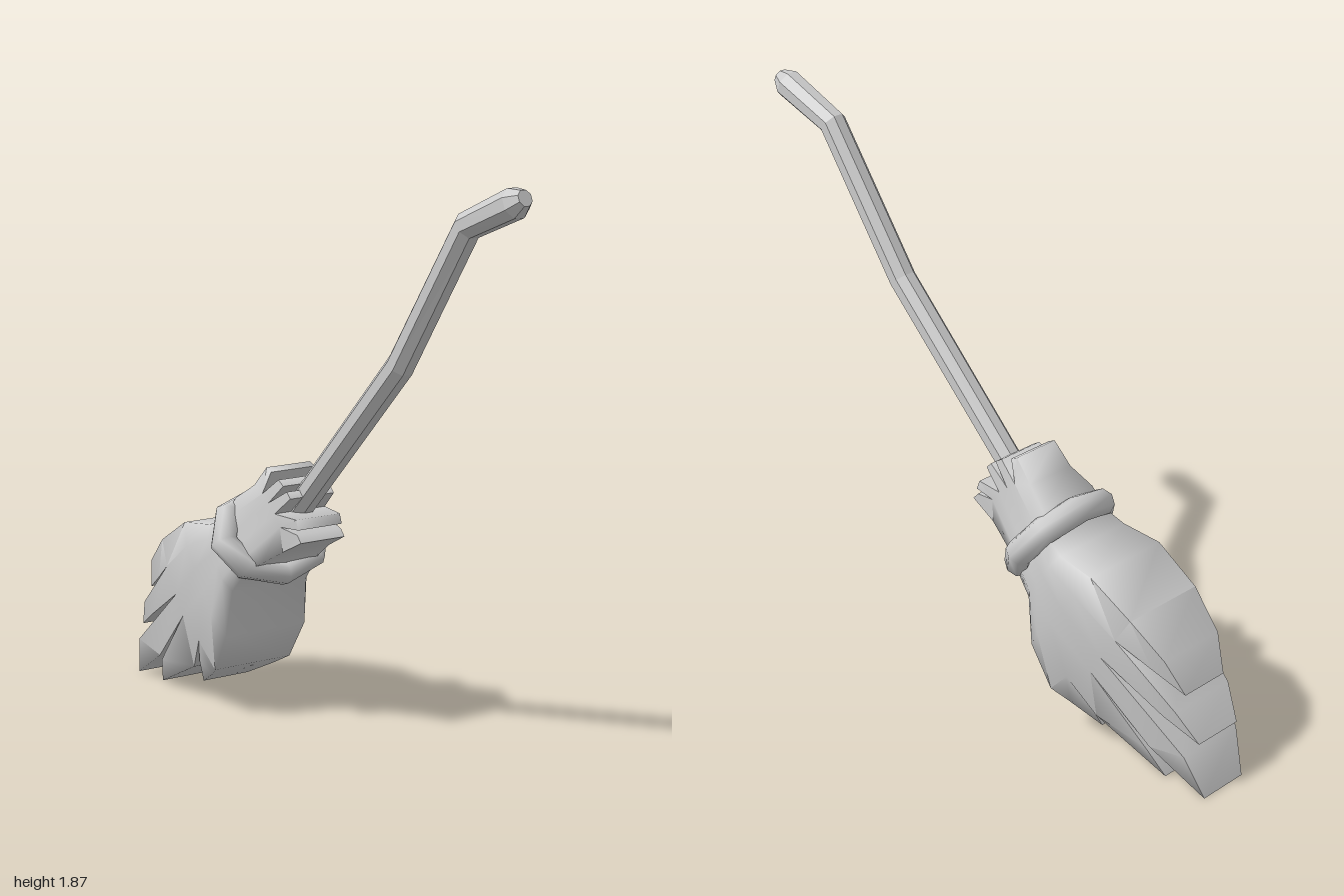
import * as THREE from 'three';
import { toCreasedNormals } from 'three/addons/utils/BufferGeometryUtils.js';

const material = (extra = {}) => new THREE.MeshStandardMaterial({ color: 0xcccccc, ...extra });

function addMesh(group, name, geometry, mat) {
  const mesh = new THREE.Mesh(geometry, mat);
  mesh.name = name;
  group.add(mesh);
}

// Octagonal stick: rings of a cylinder are moved onto a bent path of [x, y, radius]
function handleGeometry() {
  const path = [[-0.2, 0.68, 0.044], [0.42, 1.3, 0.046], [0.74, 1.752, 0.046], [0.953, 1.835, 0.049], [0.994, 1.852, 0.026]];
  const n = path.length - 1;
  const geo = new THREE.CylinderGeometry(1, 1, 1, 8, n);
  const pos = geo.attributes.position;
  const dir = (a, b) => new THREE.Vector2(b[0] - a[0], b[1] - a[1]).normalize();
  const turn = Math.PI / 8;
  for (let i = 0; i < pos.count; i++) {
    const k = Math.round((pos.getY(i) + 0.5) * n);
    const [x, y, r] = path[k];
    const before = dir(path[Math.max(k - 1, 0)], path[Math.max(k, 1)]);
    const after = dir(path[Math.min(k, n - 1)], path[Math.min(k + 1, n)]);
    const t = before.add(after).normalize();
    const px = pos.getX(i), pz = pos.getZ(i);
    const a = (px * Math.cos(turn) - pz * Math.sin(turn)) * r;
    const b = (px * Math.sin(turn) + pz * Math.cos(turn)) * r;
    pos.setXYZ(i, x + t.y * a, y - t.x * a, b - 0.005);
  }
  geo.computeVertexNormals();
  return geo;
}

// Bristle bundle: a grid of five strands, mirrored front to back, ending in spikes both ways.
// Every point is [x, y, half depth].
function bristleGeometry() {
  const out = [];
  const F = ([x, y, h]) => new THREE.Vector3(x, y, h);
  const B = ([x, y, h]) => new THREE.Vector3(x, y, -h);
  const tri = (a, b, c) => {
    const area = b.clone().sub(a).cross(c.clone().sub(a)).length();
    if (area > 1e-7) for (const p of [a, b, c]) out.push(p.x, p.y, p.z);
  };
  const quad = (a, b, c, d) => { tri(a, b, c); tri(a, c, d); };

  // One piece of strand between two levels, each a pair [upper, lower]
  const cell = ([u0, l0], [u1, l1], upperWall, lowerWall) => {
    quad(F(u0), F(u1), F(l1), F(l0));
    quad(B(u0), B(l0), B(l1), B(u1));
    if (upperWall) quad(F(u0), B(u0), B(u1), F(u1));
    if (lowerWall) quad(F(l0), F(l1), B(l1), B(l0));
  };
  const depth = (points, h, edge = 1) =>
    points.map(([x, y], j) => [x, y, h * (j % 5 === 0 ? edge : 1)]);
  const line = (a, b, h, edge) => depth(
    [0, 1, 2, 3, 4, 5].map(j => [a[0] + (b[0] - a[0]) * j / 5, a[1] + (b[1] - a[1]) * j / 5]), h, edge);

  // Rows from the collar notches down to the broom notches
  const rows = [
    depth([[-0.245, 0.822], [-0.185, 0.805], [-0.15, 0.78], [-0.115, 0.75], [-0.085, 0.712], [-0.08, 0.628]], 0.1, 0.92),
    line([-0.32, 0.77], [-0.17, 0.575], 0.13, 0.88),
    line([-0.37, 0.69], [-0.22, 0.545], 0.155, 0.88),
    line([-0.43, 0.662], [-0.295, 0.46], 0.172, 0.86),
    line([-0.57, 0.645], [-0.32, 0.3], 0.185, 0.86),
    depth([[-0.73, 0.553], [-0.68, 0.47], [-0.62, 0.385], [-0.58, 0.315], [-0.48, 0.25], [-0.4, 0.165]], 0.165, 0.92),
  ];
  for (let i = 0; i < rows.length - 1; i++)
    for (let j = 0; j < 5; j++)
      cell([rows[i][j], rows[i][j + 1]], [rows[i + 1][j], rows[i + 1][j + 1]], j === 0, j === 4);

  // Long spikes at the sweeping end: upper shoulder, lower shoulder, tip
  const spikes = [
    [[-0.85, 0.45], [-0.8, 0.4], [-0.908, 0.34]],
    [[-0.9, 0.29], [-0.85, 0.255], [-0.97, 0.19]],
    [[-0.94, 0.145], [-0.8, 0.118], [-1, 0.005]],
    [[-0.787, 0.105], [-0.575, 0.13], [-0.84, 0.01]],
    [[-0.54, 0.16], [-0.46, 0.13], [-0.57, 0.075]],
  ];
  const last = rows[rows.length - 1];
  spikes.forEach(([u, l, t], j) => {
    const mid = [[...u, 0.125], [...l, 0.125]], tip = [...t, 0.09];
    cell([last[j], last[j + 1]], mid, true, true);
    cell(mid, [tip, tip], true, true);
  });

  // Short blunt spikes of the collar
  const stubs = [
    [[-0.18, 0.892], [-0.155, 0.88]],
    [[-0.112, 0.862], [-0.085, 0.845]],
    [[-0.065, 0.83], [-0.045, 0.81]],
    [[-0.012, 0.747], [0, 0.715]],
    [[-0.005, 0.698], [0.015, 0.675]],
  ];
  stubs.forEach(([a, b], j) => {
    const u = [...a, 0.086], l = [...b, 0.086];
    cell([u, l], [rows[0][j], rows[0][j + 1]], true, true);
    quad(F(u), F(l), B(l), B(u));
  });

  const geo = new THREE.BufferGeometry();
  geo.setAttribute('position', new THREE.Float32BufferAttribute(out, 3));
  return toCreasedNormals(geo, 1.4);
}

// Eight-sided oval binding, tilted square to the bundle
function bindingGeometry() {
  const geo = new THREE.TorusGeometry(0.165, 0.042, 8, 8);
  geo.scale(0.86, 1.12, 1.1);
  const across = new THREE.Vector3(0.577, -0.817, 0).normalize();
  const depth = new THREE.Vector3(0, 0, 1);
  const axis = across.clone().cross(depth);
  geo.applyMatrix4(new THREE.Matrix4().makeBasis(across, depth, axis));
  geo.translate(-0.288, 0.633, 0);
  return geo;
}

export function createModel() {
  const broom = new THREE.Group();
  broom.name = 'broom';
  addMesh(broom, 'handle', handleGeometry(), material({ flatShading: true }));
  addMesh(broom, 'bristles', bristleGeometry(), material({ side: THREE.DoubleSide }));
  addMesh(broom, 'binding', bindingGeometry(), material());
  return broom;
}
